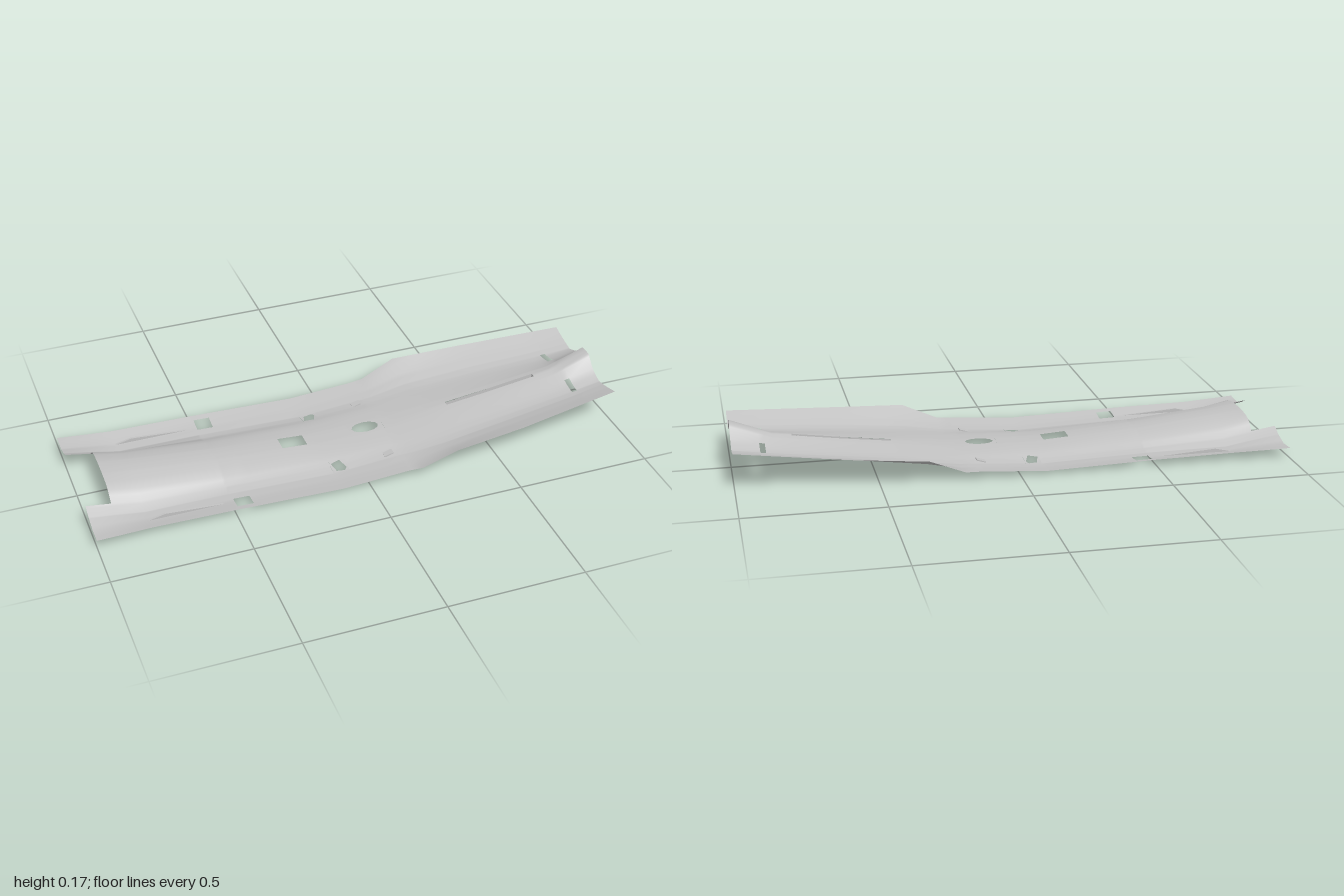
import * as THREE from 'three';
import { mergeGeometries, mergeVertices } from 'three/addons/utils/BufferGeometryUtils.js';

const lerp = THREE.MathUtils.lerp;

// Piecewise linear lookup: returns segment index and fraction
function locate(keys, v) {
  let i = 0;
  while (i < keys.length - 2 && v > keys[i + 1]) i++;
  return [i, THREE.MathUtils.clamp((v - keys[i]) / (keys[i + 1] - keys[i]), 0, 1)];
}

// Half width of the panel along its length
const widthX = [-1, -0.8, -0.4, 0.15, 0.33, 0.6, 1];
const widthZ = [0.32, 0.305, 0.305, 0.305, 0.325, 0.3, 0.245];
function halfWidth(x) {
  const [i, t] = locate(widthX, x);
  return lerp(widthZ[i], widthZ[i + 1], t);
}

// Half cross-sections: heights from the centre line to the outer edge
const across = [0, 0.1, 0.27, 0.38, 0.5, 0.62, 0.8, 1];
const sectionX = [-1, -0.91, -0.8, -0.5, -0.1, 0.2, 0.33, 0.6, 0.85, 1];
const sections = [
  [0.11, 0.11, 0.105, 0.095, 0.07, 0.05, 0.034, 0.038],
  [0.102, 0.102, 0.098, 0.088, 0.055, 0.035, 0.026, 0.034],
  [0.09, 0.089, 0.08, 0.065, 0.035, 0.014, 0.014, 0.03],
  [0.058, 0.057, 0.05, 0.038, 0.02, 0.012, 0.014, 0.025],
  [0.03, 0.03, 0.026, 0.02, 0.008, 0, 0.004, 0.013],
  [0.036, 0.036, 0.033, 0.03, 0.025, 0.022, 0.024, 0.032],
  [0.052, 0.051, 0.047, 0.043, 0.04, 0.04, 0.055, 0.087],
  [0.085, 0.082, 0.075, 0.07, 0.067, 0.07, 0.084, 0.104],
  [0.12, 0.115, 0.1, 0.093, 0.09, 0.093, 0.106, 0.124],
  [0.172, 0.172, 0.13, 0.118, 0.107, 0.112, 0.122, 0.136],
];
function height(x, s) {
  const [i, t] = locate(sectionX, x);
  const [j, u] = locate(across, Math.abs(s));
  const at = (k) => lerp(sections[k][j], sections[k][j + 1], u);
  return lerp(at(i), at(i + 1), t);
}
const surface = (x, s) => [x, height(x, s), s * halfWidth(x)];

// Rectangular openings [x0, x1, s0, s1]; s runs from -1 to 1 across the panel
const mirrored = ([a, b, c, d]) => [[a, b, c, d], [a, b, -d, -c]];
const openings = [
  [-1, -0.91, -0.5, 0.5],
  [-0.24, -0.145, -0.1, 0.1],
  [0.42, 0.78, -0.03, 0.03],
  ...mirrored([-0.49, -0.43, 0.74, 0.92]),
  ...mirrored([0.88, 0.9, 0.27, 0.53]),
];

// Shaped openings, each cut in its own patch
const oval = Array.from({ length: 12 }, (_, i) => {
  const a = (i / 12) * Math.PI * 2;
  return [0.093 + 0.052 * Math.cos(a), 0.1 * Math.sin(a)];
});
const pentagon = [[-0.095, 0.48], [-0.085, 0.6], [-0.055, 0.62], [-0.045, 0.58], [-0.06, 0.45]];
const patches = [
  { rect: [0.03, 0.16, -0.13, 0.13], hole: oval },
  { rect: [-0.1, -0.04, 0.43, 0.64], hole: pentagon },
  { rect: [-0.1, -0.04, -0.64, -0.43], hole: pentagon.map(([x, s]) => [x, -s]) },
];

function panelGeometry() {
  const cuts = [...openings, ...patches.map((p) => p.rect)];
  const sorted = (list) => [...new Set(list)].sort((a, b) => a - b);
  const xs = sorted([...sectionX, ...widthX, ...cuts.flatMap((c) => [c[0], c[1]])]);
  const ss = sorted([...across.filter((s) => s > 0).flatMap((s) => [-s, s]), 0,
    ...cuts.flatMap((c) => [c[2], c[3]])]);
  const pos = [], index = [];
  for (const x of xs) for (const s of ss) pos.push(...surface(x, s));
  for (let i = 0; i < xs.length - 1; i++) {
    for (let j = 0; j < ss.length - 1; j++) {
      const x = (xs[i] + xs[i + 1]) / 2, s = (ss[j] + ss[j + 1]) / 2;
      if (cuts.some((c) => x > c[0] && x < c[1] && s > c[2] && s < c[3])) continue;
      const a = i * ss.length + j, b = a + ss.length;
      index.push(a, a + 1, b, b, a + 1, b + 1);
    }
  }
  const grid = new THREE.BufferGeometry();
  grid.setAttribute('position', new THREE.Float32BufferAttribute(pos, 3));
  grid.setIndex(index);

  // Patches are drawn flat as (x, -s), then laid on the surface
  const pieces = patches.map(({ rect: [x0, x1, s0, s1], hole }) => {
    const v = (x, s) => new THREE.Vector2(x, -s);
    const shape = new THREE.Shape([v(x0, s0), v(x1, s0), v(x1, s1), v(x0, s1)]);
    shape.holes.push(new THREE.Path(hole.map(([x, s]) => v(x, s))));
    const g = new THREE.ShapeGeometry(shape);
    g.deleteAttribute('uv');
    g.deleteAttribute('normal');
    const p = g.attributes.position;
    for (let i = 0; i < p.count; i++) p.setXYZ(i, ...surface(p.getX(i), -p.getY(i)));
    return g;
  });
  const merged = mergeVertices(mergeGeometries([grid, ...pieces]), 1e-5);
  merged.computeVertexNormals();
  return merged;
}

// Open-topped pocket below the centre slot, deepening toward its far end
function pocketGeometry() {
  const box = new THREE.BoxGeometry(0.38, 1, 0.02, 6, 1, 1);
  const p = box.attributes.position;
  for (let i = 0; i < p.count; i++) {
    const x = p.getX(i) + 0.59;
    const top = height(x, 0.03);
    const floor = Math.min(top - 0.004, 0.042);
    p.setXYZ(i, x, p.getY(i) > 0 ? top : floor, p.getZ(i) * lerp(0.6, 1, (x - 0.4) / 0.38));
  }
  const lid = box.groups[2];
  const index = Array.from(box.index.array);
  index.splice(lid.start, lid.count);
  box.setIndex(index);
  box.clearGroups();
  const flat = box.toNonIndexed();
  flat.computeVertexNormals();
  return flat;
}

// Thin upright wedge following the trough
function finGeometry() {
  const shape = new THREE.Shape([
    new THREE.Vector2(-0.8, height(-0.8, 0.79)),
    new THREE.Vector2(-0.53, height(-0.53, 0.79)),
    new THREE.Vector2(-0.74, height(-0.74, 0.79) + 0.014),
  ]);
  return new THREE.ExtrudeGeometry(shape, { depth: 0.008, bevelEnabled: false });
}

export function createModel() {
  const model = new THREE.Group();
  model.name = 'underbodyPanel';
  const grey = new THREE.MeshStandardMaterial({ color: 0xc2c2c2, side: THREE.DoubleSide });
  grey.name = 'lightGrey';
  const add = (name, geometry) => {
    const mesh = new THREE.Mesh(geometry, grey);
    mesh.name = name;
    model.add(mesh);
    return mesh;
  };

  add('floorPanel', panelGeometry());
  add('centrePocket', pocketGeometry());

  for (const side of [-1, 1]) {
    const label = side > 0 ? 'front' : 'back';
    add(label + 'Fin', finGeometry()).position.z = side * 0.24 - 0.004;
    // Small bent tab
    const tab = add(label + 'Tab', new THREE.BoxGeometry(0.035, 0.004, 0.025));
    tab.position.set(0.12, height(0.12, 0.56) + 0.004, side * 0.17);
    tab.rotation.z = 0.3;
  }
  return model;
}
